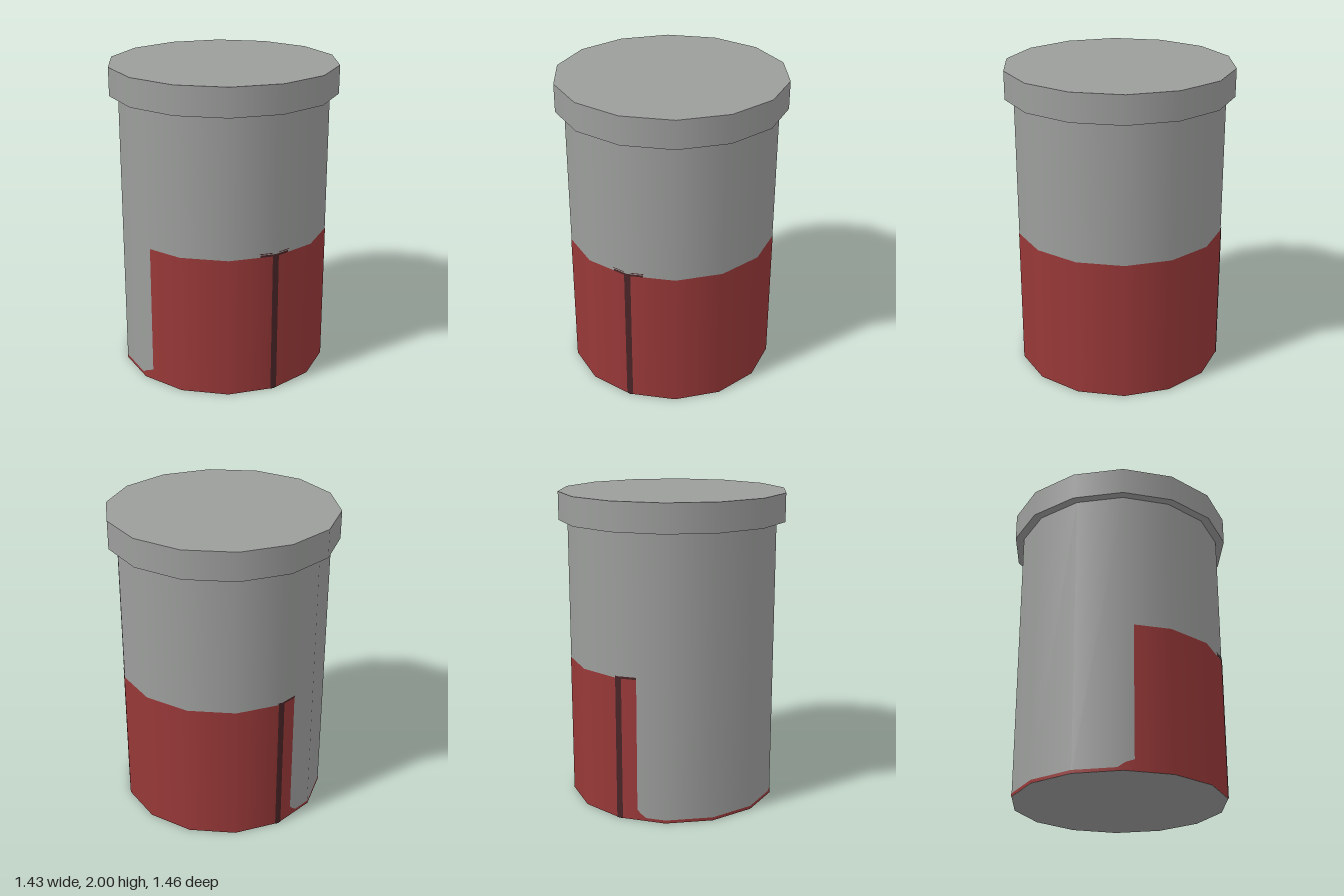
import * as THREE from 'three';

const SIDES = 14;
const STEP = 360 / SIDES;
const RADIUS = 0.675;
const rad = THREE.MathUtils.degToRad;

// Thin skin following the faceted wall; profile rows are [angle from +z in degrees, bottom, top]
function wallSkin(profile, offset) {
  const rows = [];
  profile.forEach((p, i) => {
    rows.push(p);
    const q = profile[i + 1];
    if (!q) return;
    for (let a = (Math.floor(p[0] / STEP) + 1) * STEP; a < q[0] - 1e-6; a += STEP) {
      const t = (a - p[0]) / (q[0] - p[0]);
      rows.push([a, p[1] + (q[1] - p[1]) * t, p[2] + (q[2] - p[2]) * t]);
    }
  });
  const pos = [], nor = [], idx = [];
  rows.forEach(([a, y0, y1], i) => {
    const within = a - Math.floor(a / STEP + 1e-6) * STEP - STEP / 2;
    const r = (RADIUS + offset) * Math.cos(rad(STEP / 2)) / Math.cos(rad(within));
    const s = Math.sin(rad(a)), c = Math.cos(rad(a));
    pos.push(s * r, y0, c * r, s * r, y1, c * r);
    nor.push(s, 0, c, s, 0, c);
    const k = i * 2;
    if (i < rows.length - 1) idx.push(k, k + 2, k + 1, k + 1, k + 2, k + 3);
  });
  const g = new THREE.BufferGeometry();
  g.setAttribute('position', new THREE.Float32BufferAttribute(pos, 3));
  g.setAttribute('normal', new THREE.Float32BufferAttribute(nor, 3));
  g.setIndex(idx);
  return g;
}

export function createModel() {
  const group = new THREE.Group();
  const material = (name, color) => {
    const m = new THREE.MeshStandardMaterial({ color });
    m.name = name;
    return m;
  };
  const grey = material('grey', 0x9c9e9c);
  const red = material('red', 0x983838);
  const dark = material('darkRed', 0x4a2527);
  const add = (name, geometry, mat, y = 0) => {
    const mesh = new THREE.Mesh(geometry, mat);
    mesh.name = name;
    mesh.position.y = y;
    group.add(mesh);
  };

  // Canister and overhanging lid
  add('body', new THREE.CylinderGeometry(RADIUS, RADIUS, 1.83, SIDES), grey, 0.915);
  add('lid', new THREE.CylinderGeometry(0.731, 0.731, 0.18, SIDES), grey, 1.91);

  // Red lower wrap, open on one side with a thin rim below the opening
  add('lowerWrap', wallSkin([[-71.6, 0, 0.92], [190, 0, 0.92]], 0.002), red);
  add('wrapRim', wallSkin([
    [190, 0, 0.07], [192, 0, 0.045], [195, 0, 0.02],
    [280, 0, 0.02], [284, 0, 0.05], [288.4, 0, 0.07],
  ], 0.002), red);

  // Dark seams at front and back
  for (const [side, angle] of [['front', 0], ['back', 180]]) {
    add(side + 'Seam', wallSkin([[angle - 1.8, 0, 0.925], [angle + 1.8, 0, 0.925]], 0.004), dark);
  }

  // Short bars capping the seams, with thin lines above the front one
  add('frontBar', wallSkin([[-8.6, 0.92, 0.934], [8.6, 0.92, 0.934]], 0.004), dark);
  add('backBar', wallSkin([[178, 0.92, 0.934], [190, 0.92, 0.934]], 0.004), dark);
  for (const [from, to] of [[-9, -2], [2, 9]]) {
    add('frontBarLine', wallSkin([[from, 0.939, 0.944], [to, 0.939, 0.944]], 0.004), dark);
  }
  return group;
}
